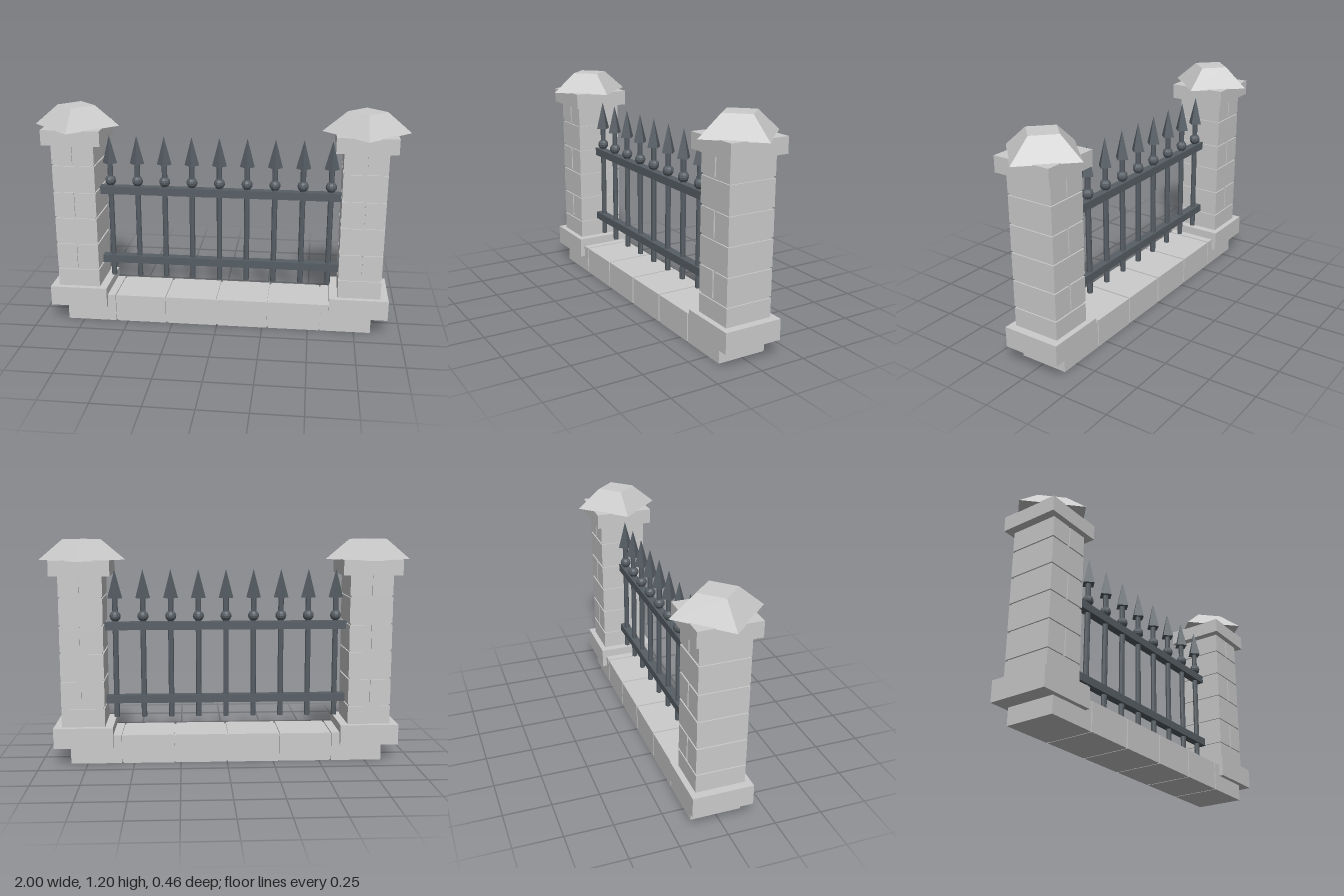
import * as THREE from 'three';

const stone = new THREE.MeshStandardMaterial({ color: 0xcccccc, flatShading: true });
const iron = new THREE.MeshStandardMaterial({ color: 0x575f65, flatShading: true });

function add(parent, name, geometry, material, x, y, z = 0) {
  const mesh = new THREE.Mesh(geometry, material);
  mesh.name = name;
  mesh.position.set(x, y, z);
  parent.add(mesh);
  return mesh;
}

// Box given by its x and y limits and its depth, centred on z = 0
function block(parent, name, material, x0, x1, y0, y1, depth) {
  const geometry = new THREE.BoxGeometry(x1 - x0, y1 - y0, depth);
  return add(parent, name, geometry, material, (x0 + x1) / 2, (y0 + y1) / 2);
}

function createPillar() {
  const pillar = new THREE.Group();
  block(pillar, 'pillarBase', stone, -0.158, 0.158, 0.09, 0.2, 0.318);
  block(pillar, 'pillarMortar', stone, -0.108, 0.108, 0.2, 1.01, 0.244);

  // Brick courses, every second one split in two
  const courses = [[0.2, 0.298], [0.309, 0.446], [0.457, 0.595], [0.606, 0.741], [0.752, 0.889], [0.9, 1.008]];
  courses.forEach(([y0, y1], i) => {
    if (i % 2) {
      block(pillar, 'brick', stone, -0.115, -0.004, y0, y1, 0.258);
      block(pillar, 'brick', stone, 0.008, 0.115, y0, y1, 0.258);
    } else {
      block(pillar, 'brick', stone, -0.115, 0.115, y0, y1, 0.258);
    }
  });

  // Capital slab and the four-sided cap set cornerwise
  block(pillar, 'pillarCapital', stone, -0.158, 0.158, 1.008, 1.09, 0.318);
  add(pillar, 'pillarCap', new THREE.CylinderGeometry(0.102, 0.23, 0.108, 4), stone, 0, 1.141);
  return pillar;
}

function createPicket() {
  const picket = new THREE.Group();
  add(picket, 'bar', new THREE.CylinderGeometry(0.015, 0.015, 0.665, 8), iron, 0, 0.5575);
  add(picket, 'ball', new THREE.SphereGeometry(0.03, 10, 8), iron, 0, 0.782);
  add(picket, 'spearhead', new THREE.ConeGeometry(0.04, 0.155, 4), iron, 0, 0.957);
  return picket;
}

export function createModel() {
  const model = new THREE.Group();
  model.name = 'fence';

  // Low wall of six stones on a recessed mortar core
  const wall = new THREE.Group();
  wall.name = 'lowWall';
  block(wall, 'wallMortar', stone, -0.83, 0.83, 0.002, 0.147, 0.25);
  for (let i = 0; i < 6; i++) {
    const x = (i - 2.5) * 0.2815;
    block(wall, 'wallStone', stone, x - 0.136, x + 0.136, 0, 0.154, 0.268);
  }
  model.add(wall);

  // Pillars at both ends
  for (const side of [-1, 1]) {
    const pillar = createPillar();
    pillar.name = side > 0 ? 'leftPillar' : 'rightPillar';
    pillar.position.x = side * 0.77;
    model.add(pillar);
  }

  // Iron railing
  const railing = new THREE.Group();
  railing.name = 'railing';
  block(railing, 'lowerRail', iron, -0.66, 0.66, 0.305, 0.348, 0.046);
  block(railing, 'upperRail', iron, -0.66, 0.66, 0.708, 0.751, 0.046);
  for (let i = -4; i <= 4; i++) {
    const picket = createPicket();
    picket.name = 'picket';
    picket.position.x = i * 0.15;
    railing.add(picket);
  }
  model.add(railing);
  return model;
}
